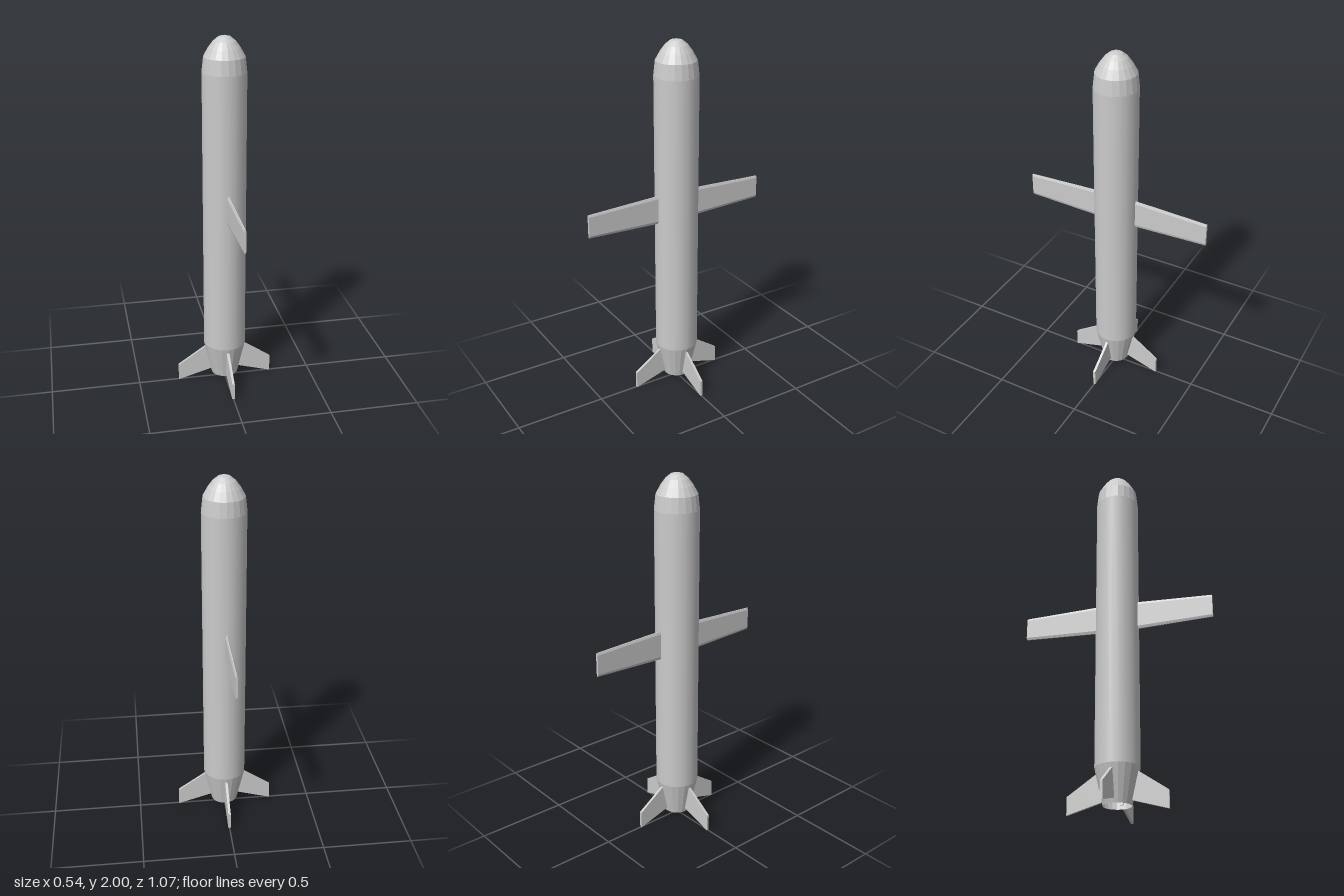
import * as THREE from 'three';

const SIDES = 20;
const flat = new THREE.MeshStandardMaterial({ color: 0xcccccc, flatShading: true, side: THREE.DoubleSide });
const smooth = new THREE.MeshStandardMaterial({ color: 0xcccccc });

// Surface of revolution from [radius, y] pairs, bottom to top
function turned(name, profile, material) {
  const points = profile.map(([r, y]) => new THREE.Vector2(r, y));
  const mesh = new THREE.Mesh(new THREE.LatheGeometry(points, SIDES), material);
  mesh.name = name;
  return mesh;
}

// Wing along +z with a chamfered section, narrowing to the tip
function wingGeometry() {
  const t = 0.008, root = 0.1, tip = 0.533, middle = 1.085;
  const section = new THREE.Shape([
    [0.003, -0.081], [t, -0.066], [t, 0.066], [0.003, 0.081],
    [-0.003, 0.081], [-t, 0.066], [-t, -0.066], [-0.003, -0.081],
  ].map(([x, y]) => new THREE.Vector2(x, y)));
  const geometry = new THREE.ExtrudeGeometry(section, { depth: tip - root, bevelEnabled: false });
  const p = geometry.attributes.position;
  for (let i = 0; i < p.count; i++) {
    const k = p.getZ(i) / (tip - root);
    p.setXYZ(i, p.getX(i) * (1 - 0.15 * k), middle + p.getY(i) * (1 - 0.2 * k), p.getZ(i) + root);
  }
  geometry.computeVertexNormals();
  return geometry;
}

// Swept tail fin in the xy plane, pointing to +x
function finGeometry() {
  const outline = new THREE.Shape([
    [0.075, 0.06], [0.27, 0.004], [0.27, 0.1], [0.107, 0.211],
  ].map(([x, y]) => new THREE.Vector2(x, y)));
  const thickness = 0.014;
  return new THREE.ExtrudeGeometry(outline, { depth: thickness, bevelEnabled: false })
    .translate(0, 0, -thickness / 2);
}

export function createModel() {
  const model = new THREE.Group();
  model.name = 'missile';

  // Fuselage: open tapered tail, long tube, rounded nose
  model.add(turned('tailCone', [[0.075, 0.035], [0.119, 0.232]], flat));
  model.add(turned('body', [[0.119, 0.232], [0.119, 1.81]], smooth));
  model.add(turned('nose', [
    [0.119, 1.81], [0.11, 1.89], [0.085, 1.935], [0.06, 1.969], [0.032, 1.992], [0, 2],
  ], flat));

  // Pair of mid-body wings
  const wing = wingGeometry();
  for (let i = 0; i < 2; i++) {
    const mesh = new THREE.Mesh(wing, flat);
    mesh.name = i ? 'backWing' : 'frontWing';
    mesh.rotation.y = i * Math.PI;
    model.add(mesh);
  }

  // Four tail fins
  const fin = finGeometry();
  ['leftFin', 'backFin', 'rightFin', 'frontFin'].forEach((name, i) => {
    const mesh = new THREE.Mesh(fin, flat);
    mesh.name = name;
    mesh.rotation.y = i * Math.PI / 2;
    model.add(mesh);
  });
  return model;
}
